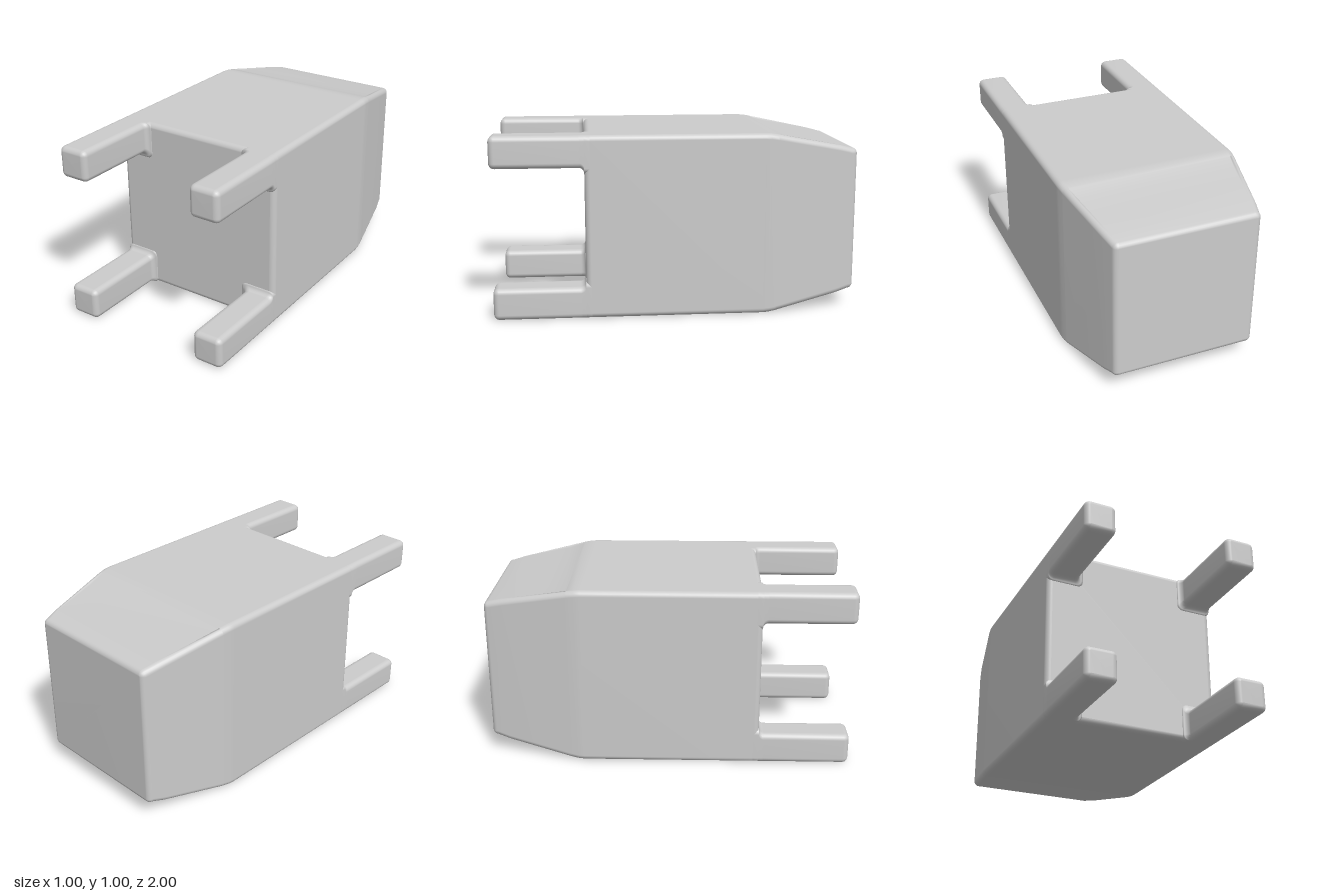
import * as THREE from 'three';

const R = 0.03;      // edge rounding
const STEPS = 5;     // segments per rounded edge
const HALF_PI = Math.PI / 2;

// Rounded square section, counter-clockwise seen from +z.
// "drop" lowers the middle of the top edge to sink a panel into it.
function section({ z, half, r = R, cx = 0, cy = 0, drop = 0 }) {
  const pts = [];
  [[1, -1], [1, 1], [-1, 1], [-1, -1]].forEach(([sx, sy], k) => {
    for (let i = 0; i <= STEPS; i++) {
      const a = (k - 1) * HALF_PI + (i / STEPS) * HALF_PI;
      pts.push([
        cx + sx * (half - r) + r * Math.cos(a),
        cy + sy * (half - r) + r * Math.sin(a), z]);
    }
    if (k === 1) {
      const inner = half - r - 0.003;
      pts.push([cx + inner, cy + half - drop, z], [cx - inner, cy + half - drop, z]);
    }
  });
  return pts;
}

// Skin sections ordered from low z to high z, with flat end caps.
function loft(sections, capBack, capFront) {
  const rings = sections.map(section);
  const n = rings[0].length;
  const index = [];
  for (let i = 0; i < rings.length - 1; i++) {
    for (let j = 0; j < n; j++) {
      const a = i * n + j, b = i * n + (j + 1) % n;
      index.push(a, b, b + n, a, b + n, a + n);
    }
  }
  const last = (rings.length - 1) * n;
  for (let j = 1; j < n - 1; j++) {
    if (capBack) index.push(0, j + 1, j);
    if (capFront) index.push(last, last + j, last + j + 1);
  }
  const geo = new THREE.BufferGeometry();
  geo.setAttribute('position', new THREE.Float32BufferAttribute(rings.flat(2), 3));
  geo.setIndex(index);
  geo.computeVertexNormals();
  return geo;
}

// Sections rounding off an end at zEnd; dir is +1 for a front end, -1 for a back end.
function roundedEnd(zEnd, dir, half, place = {}) {
  const out = [];
  for (let i = 0; i <= STEPS; i++) {
    const t = (i / STEPS) * HALF_PI;
    const r = Math.max(R * Math.cos(t), 0.002);
    out.push({ z: zEnd - dir * R * (1 - Math.sin(t)), half: half - R + r, r, ...place });
  }
  return dir > 0 ? out : out.reverse();
}

export function createModel() {
  const model = new THREE.Group();
  const material = new THREE.MeshStandardMaterial({ color: 0xcccccc });
  const add = (name, geo) => {
    const mesh = new THREE.Mesh(geo, material);
    mesh.name = name;
    mesh.position.y = 0.5;
    model.add(mesh);
  };

  // Body: square block tapering to the back, with a shallow panel on the top slope
  const taper = (z, drop = 0) => ({ z, half: 0.5 + 0.2 * (z + 0.5), drop });
  add('body', loft([
    ...roundedEnd(-1, -1, 0.402),
    taper(-0.9), taper(-0.75, 0.007), taper(-0.63, 0.012),
    taper(-0.543, 0.007), taper(-0.54),
    { z: -0.5, half: 0.498 }, { z: -0.47, half: 0.5 },
    ...roundedEnd(0.5, 1, 0.5),
  ], true, true));

  // Legs: four square prongs at the front corners, flared into the body by a fillet
  const width = 0.174;
  for (const sx of [-1, 1]) {
    for (const sy of [-1, 1]) {
      const at = (z, flare) => {
        const half = (width + flare) / 2;
        return { z, half, cx: sx * (0.5 - half), cy: sy * (0.5 - half) };
      };
      const root = [at(0.47, R)];
      for (let i = 0; i <= STEPS; i++) {
        const t = (i / STEPS) * HALF_PI;
        root.push(at(0.5 + R * (1 - Math.cos(t)), R * (1 - Math.sin(t))));
      }
      const { cx, cy } = at(1, 0);
      const name = (sy > 0 ? 'upper' : 'lower') + (sx > 0 ? 'Left' : 'Right') + 'Leg';
      add(name, loft([...root, ...roundedEnd(1, 1, width / 2, { cx, cy })], false, true));
    }
  }
  return model;
}
